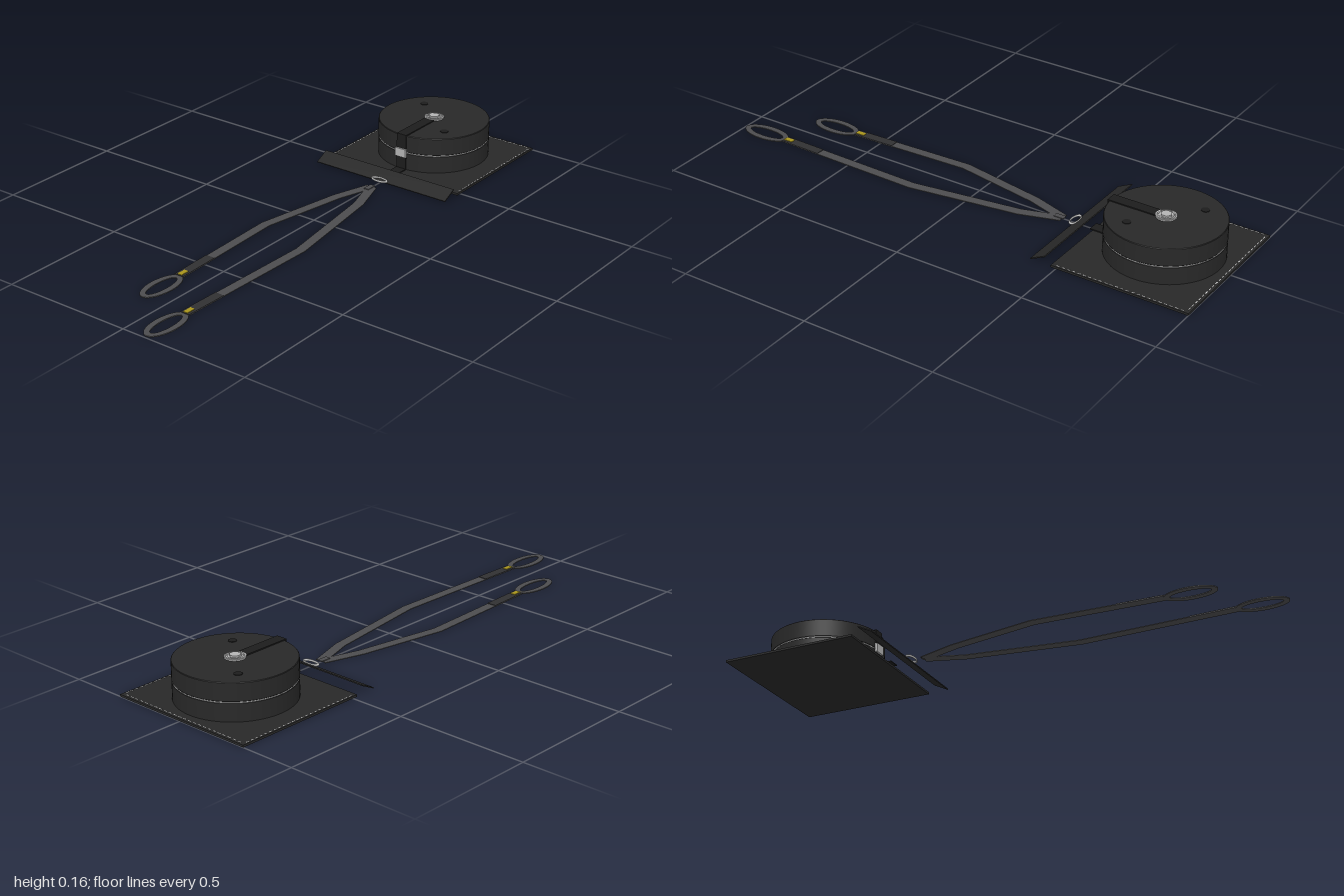
import * as THREE from 'three';

const mat = (name, color) => {
  const m = new THREE.MeshStandardMaterial({ color });
  m.name = name;
  return m;
};

export function createModel() {
  const black = mat('black fabric', 0x282828);
  const dark = mat('dark webbing', 0x1c1c1c);
  const grey = mat('grey webbing', 0x4c4c4e);
  const fold = mat('folded webbing', 0x303032);
  const silver = mat('silver metal', 0xb4b4b4);
  const white = mat('white thread', 0xd8d8d8);
  const yellow = mat('yellow thread', 0xa8941c);

  const root = new THREE.Group();
  const add = (name, geo, material, x = 0, y = 0, z = 0, parent = root) => {
    const m = new THREE.Mesh(geo, material);
    m.name = name;
    m.position.set(x, y, z);
    parent.add(m);
    return m;
  };
  const box = (w, h, d) => new THREE.BoxGeometry(w, h, d);

  // Flat outline in (x, z), given thickness upwards
  const slab = (shape, h) => new THREE.ExtrudeGeometry(shape, { depth: h, bevelEnabled: false, curveSegments: 32 })
    .rotateX(-Math.PI / 2);

  // Ribbon of constant width with mitred corners along [x, z] points
  const ribbon = (points, width, h) => {
    const p = points.map(([x, z]) => new THREE.Vector2(x, -z));
    const left = [], right = [];
    p.forEach((c, i) => {
      const a = c.clone().sub(p[Math.max(i - 1, 0)]).normalize();
      const b = p[Math.min(i + 1, p.length - 1)].clone().sub(c).normalize();
      const t = a.add(b).normalize();
      const n = new THREE.Vector2(-t.y, t.x).multiplyScalar(width / 2);
      left.push(c.clone().add(n));
      right.unshift(c.clone().sub(n));
    });
    return slab(new THREE.Shape([...left, ...right]), h);
  };

  const ovalRing = (rx, rz, band, h) => {
    const s = new THREE.Shape().absellipse(0, 0, rx, rz, 0, Math.PI * 2);
    s.holes.push(new THREE.Path().absellipse(0, 0, rx - band, rz - band, 0, Math.PI * 2));
    return slab(s, h);
  };

  // Base mat with a stitched border
  add('baseMat', box(0.58, 0.008, 0.52), black, 0, 0.004, -0.74);
  const stitches = new THREE.Group();
  stitches.name = 'borderStitches';
  root.add(stitches);
  for (let i = 0; i < 24; i++) {
    const t = (i + 0.5) / 24 - 0.5;
    add('backStitch', box(0.013, 0.001, 0.003), white, t * 0.55, 0.0085, -0.99, stitches);
    for (const s of [-1, 1])
      add('sideStitch', box(0.003, 0.001, 0.011), white, s * 0.283, 0.0085, -0.74 + t * 0.49, stitches);
  }

  // Round pouch: two drums with softened rims and a zip seam between
  const drum = (y0, y1) => {
    const r = 0.21, e = 0.002;
    const pts = [[0, y0], [r - e, y0], [r - e, y0], [r, y0 + e], [r, y0 + e], [r, y1 - e],
      [r, y1 - e], [r - e, y1], [r - e, y1], [0, y1]];
    return new THREE.LatheGeometry(pts.map(([x, y]) => new THREE.Vector2(x, y)), 64);
  };
  const cz = -0.75;
  add('lowerDrum', drum(0.006, 0.0745), black, 0, 0, cz);
  add('upperDrum', drum(0.0775, 0.145), black, 0, 0, cz);
  add('zipSeam', new THREE.CylinderGeometry(0.209, 0.209, 0.004, 64, 1, true), silver, 0, 0.076, cz);

  // Vent slots on the lid
  for (const s of [-1, 1])
    add('ventSlot', new THREE.CylinderGeometry(0.015, 0.015, 0.003, 20), dark, s * 0.107, 0.1455, cz + s * 0.09);

  // Closing strap: over the lid, down the front and onto the mat
  add('strapTop', box(0.042, 0.004, 0.22), dark, 0, 0.147, -0.645);
  add('strapFront', box(0.042, 0.143, 0.004), dark, 0, 0.0775, -0.537);
  add('strapFoot', box(0.042, 0.004, 0.065), dark, 0, 0.01, -0.5025);
  add('buckle', box(0.046, 0.033, 0.01), silver, 0, 0.0765, -0.533);

  // Centre fastener: washer and hexagonal nut
  add('washer', new THREE.CylinderGeometry(0.037, 0.037, 0.005, 32), silver, 0, 0.1475, cz);
  add('nutRing', new THREE.TorusGeometry(0.029, 0.003, 8, 32).rotateX(Math.PI / 2), silver, 0, 0.15, cz);
  add('nut', new THREE.CylinderGeometry(0.021, 0.021, 0.007, 6), silver, 0, 0.1525, cz);

  // Tilted front flap
  const flap = add('frontFlap', box(0.58, 0.004, 0.062), black, 0, 0.019, -0.428);
  flap.rotation.x = Math.atan2(0.027, 0.055);

  // Metal link in front of the flap
  add('link', new THREE.TorusGeometry(0.031, 0.005, 10, 32).scale(1, 0.45, 0.9).rotateX(Math.PI / 2),
    silver, 0, 0.0135, -0.398);

  // Two carrying arms, each with a folded end, thread tack and hand loop
  const arms = [
    { name: 'rightArm', path: [[-0.004, -0.345], [-0.05, -0.2], [-0.112, 0.135], [-0.095, 0.62]], loop: [-0.093, 0.71], y: 0.001 },
    { name: 'leftArm', path: [[0.004, -0.345], [0.05, -0.2], [0.111, 0.22], [0.095, 0.81]], loop: [0.093, 0.898], y: 0.0015 },
  ];
  for (const { name, path, loop, y } of arms) {
    const g = new THREE.Group();
    g.name = name;
    root.add(g);
    add('webbing', ribbon(path, 0.037, 0.003), grey, 0, y, 0, g);
    const end = path[3], bend = path[2];
    const len = end[1] - bend[1];
    const start = [end[0] + (bend[0] - end[0]) * 0.17 / len, end[1] - 0.17];
    add('foldedEnd', ribbon([start, end], 0.037, 0.002), fold, 0, y + 0.003, 0, g);
    add('threadTack', box(0.018, 0.002, 0.036), yellow, end[0], y + 0.006, end[1] - 0.021, g);
    add('handLoop', ovalRing(0.046, 0.096, 0.022, 0.004), grey, loop[0], y - 0.001, loop[1], g);
  }
  // Stitched join where the arms meet
  add('armJoin', ribbon([[0, -0.355], [0, -0.315]], 0.02, 0.003), grey, 0, 0.004, 0);

  return root;
}
